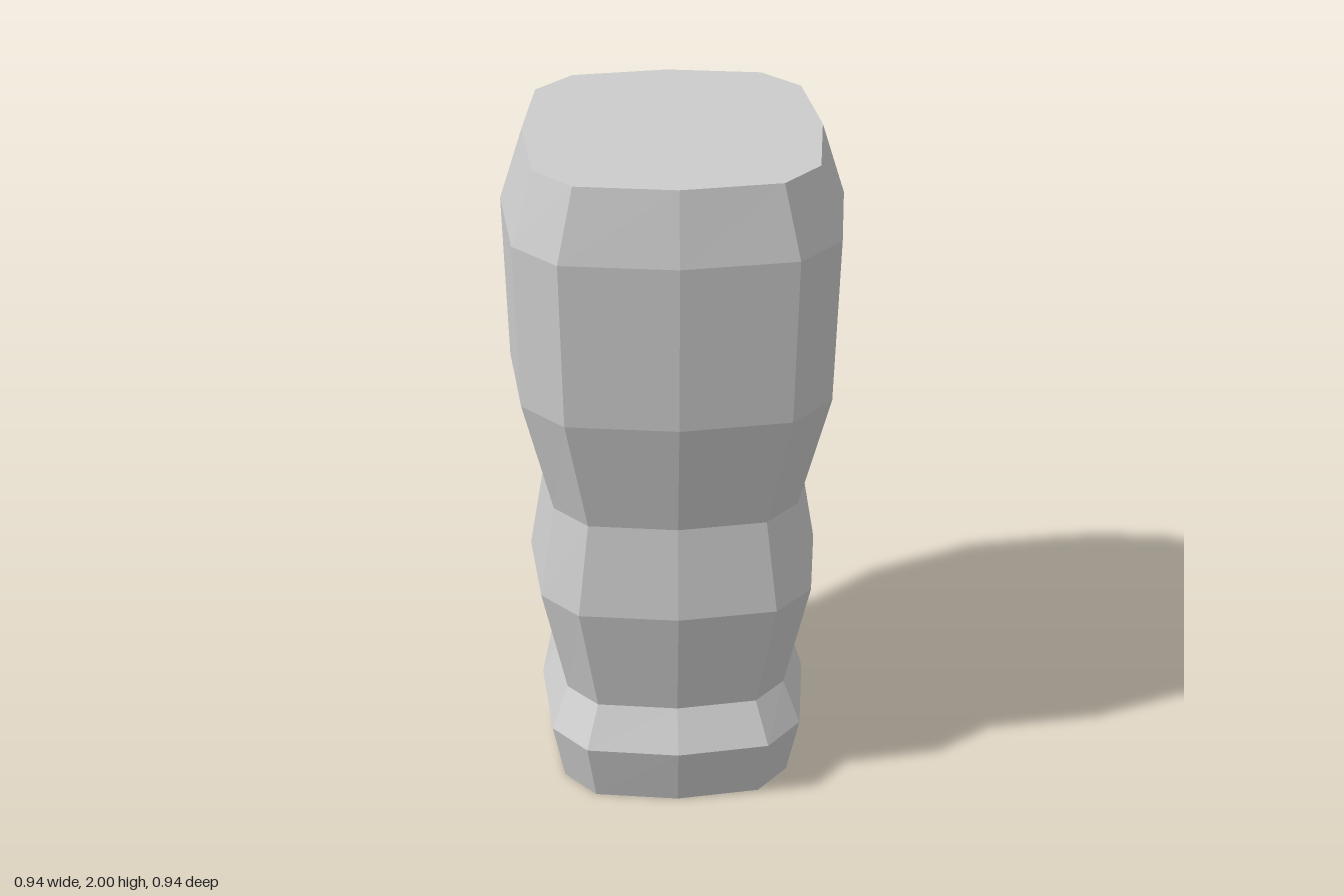
import * as THREE from 'three';

// Ring heights with half width (x) and half depth (z), from base to top
const RINGS = [
  [0, 0.367, 0.386],
  [0.2, 0.402, 0.43],
  [0.32, 0.35, 0.36],
  [0.68, 0.423, 0.423],
  [0.96, 0.375, 0.385],
  [1.32, 0.46, 0.46],
  [1.8, 0.469, 0.469],
  [2, 0.404, 0.423],
];

// Twelve-sided rounded square: one quarter, turned four times
function unitSection() {
  const points = [];
  let quarter = [[1, 0], [0.92, 0.665], [0.665, 0.92]];
  for (let q = 0; q < 4; q++) {
    points.push(...quarter);
    quarter = quarter.map(([x, z]) => [-z, x]);
  }
  return points;
}

// Joins the scaled sections into a closed solid
function loft(rings, section) {
  const n = section.length;
  const positions = [];
  const index = [];
  for (const [y, sx, sz] of rings) {
    for (const [x, z] of section) positions.push(x * sx, y, z * sz);
  }
  for (let r = 0; r < rings.length - 1; r++) {
    for (let i = 0; i < n; i++) {
      const a = r * n + i;
      const b = r * n + (i + 1) % n;
      index.push(a, a + n, b, b, a + n, b + n);
    }
  }
  // Flat end caps
  const top = (rings.length - 1) * n;
  for (let i = 1; i < n - 1; i++) {
    index.push(0, i, i + 1);
    index.push(top, top + i + 1, top + i);
  }
  const geometry = new THREE.BufferGeometry();
  geometry.setAttribute('position', new THREE.Float32BufferAttribute(positions, 3));
  geometry.setIndex(index);
  const faceted = geometry.toNonIndexed();
  faceted.computeVertexNormals();
  return faceted;
}

export function createModel() {
  const group = new THREE.Group();
  group.name = 'facetedPost';
  const material = new THREE.MeshStandardMaterial({ color: 0xcccccc, flatShading: true });
  const post = new THREE.Mesh(loft(RINGS, unitSection()), material);
  post.name = 'postBody';
  group.add(post);
  return group;
}
